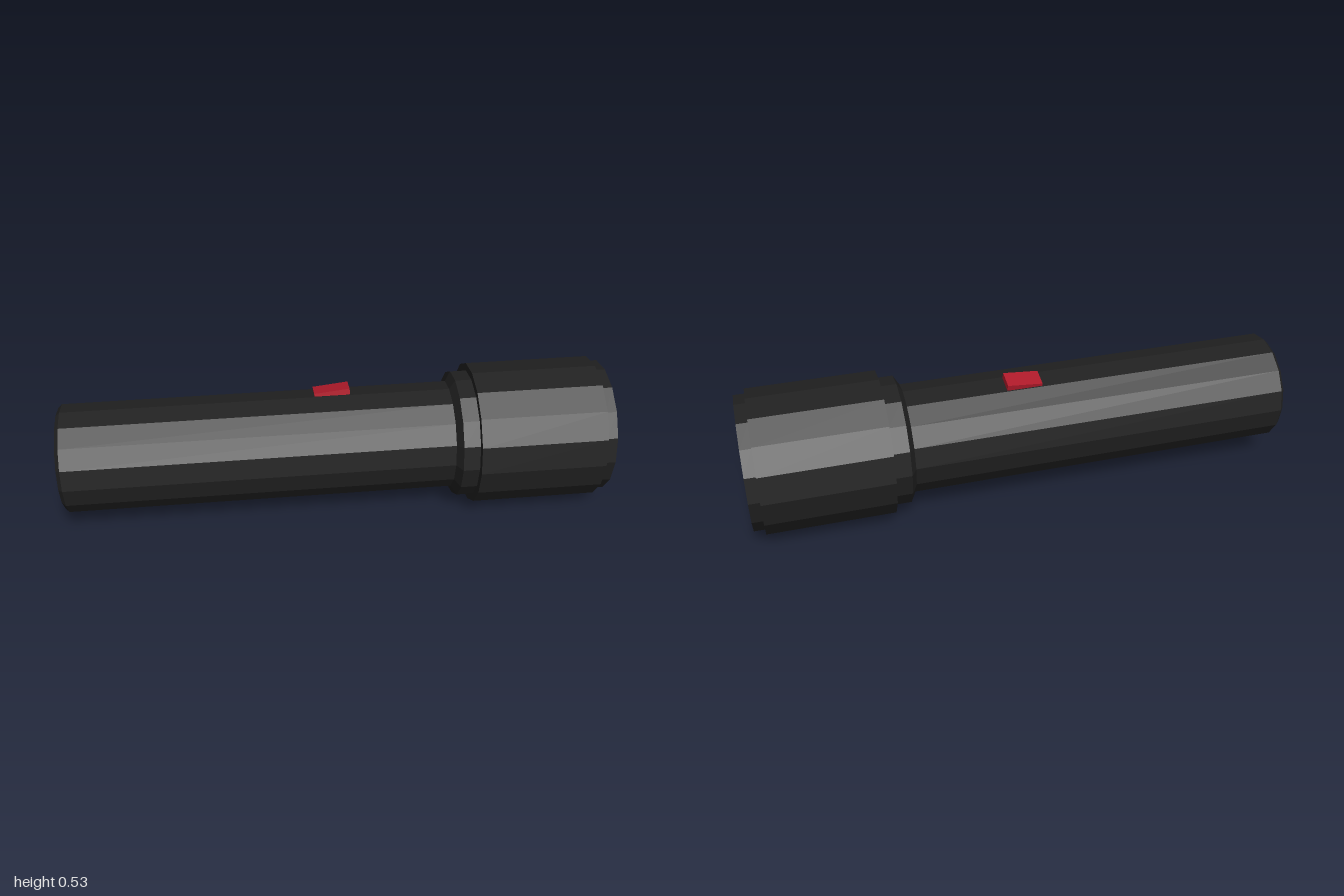
import * as THREE from 'three';

const SIDES = 16;
const AXIS_Y = 0.263;
const mat = (color) => new THREE.MeshStandardMaterial({ color, flatShading: true });

// Turned part lying along x; points are [x, radius] from back to front
function turned(name, points, material) {
  const profile = points.map(([x, r]) => new THREE.Vector2(r, x));
  const geo = new THREE.LatheGeometry(profile, SIDES);
  geo.rotateZ(-Math.PI / 2);
  const mesh = new THREE.Mesh(geo, material);
  mesh.name = name;
  mesh.position.y = AXIS_Y;
  return mesh;
}

export function createModel() {
  const group = new THREE.Group();
  group.name = 'flashlight';
  const black = mat(0x202020);

  // Handle tube with chamfered tail, flaring into the neck
  group.add(turned('handle', [
    [-1, 0], [-1, 0.185], [-0.985, 0.2], [0.42, 0.2], [0.44, 0.235], [0.5, 0.235],
  ], black));

  // Head with stepped front bezel and a shallow lip around the lens
  group.add(turned('head', [
    [0.5, 0.235], [0.5, 0.263], [0.96, 0.263], [0.96, 0.245],
    [1, 0.245], [1, 0.224], [0.994, 0.224],
  ], black));

  // Lens disc
  const lens = new THREE.Mesh(new THREE.CircleGeometry(0.224, SIDES), mat(0x707070));
  lens.name = 'lens';
  lens.rotation.y = Math.PI / 2;
  lens.position.set(0.994, AXIS_Y, 0);
  group.add(lens);

  // Rocker switch, seated on the facet just behind the top edge and tipped up at the front
  const facet = Math.PI / SIDES;
  const seat = new THREE.Group();
  seat.name = 'switchSeat';
  seat.position.y = AXIS_Y;
  seat.rotation.x = -facet;
  const button = new THREE.Mesh(new THREE.BoxGeometry(0.13, 0.022, 0.07), mat(0xb01a2a));
  button.name = 'switch';
  button.position.set(-0.01, 0.2 * Math.cos(facet) + 0.006, 0);
  button.rotation.z = 0.1;
  seat.add(button);
  group.add(seat);

  return group;
}
